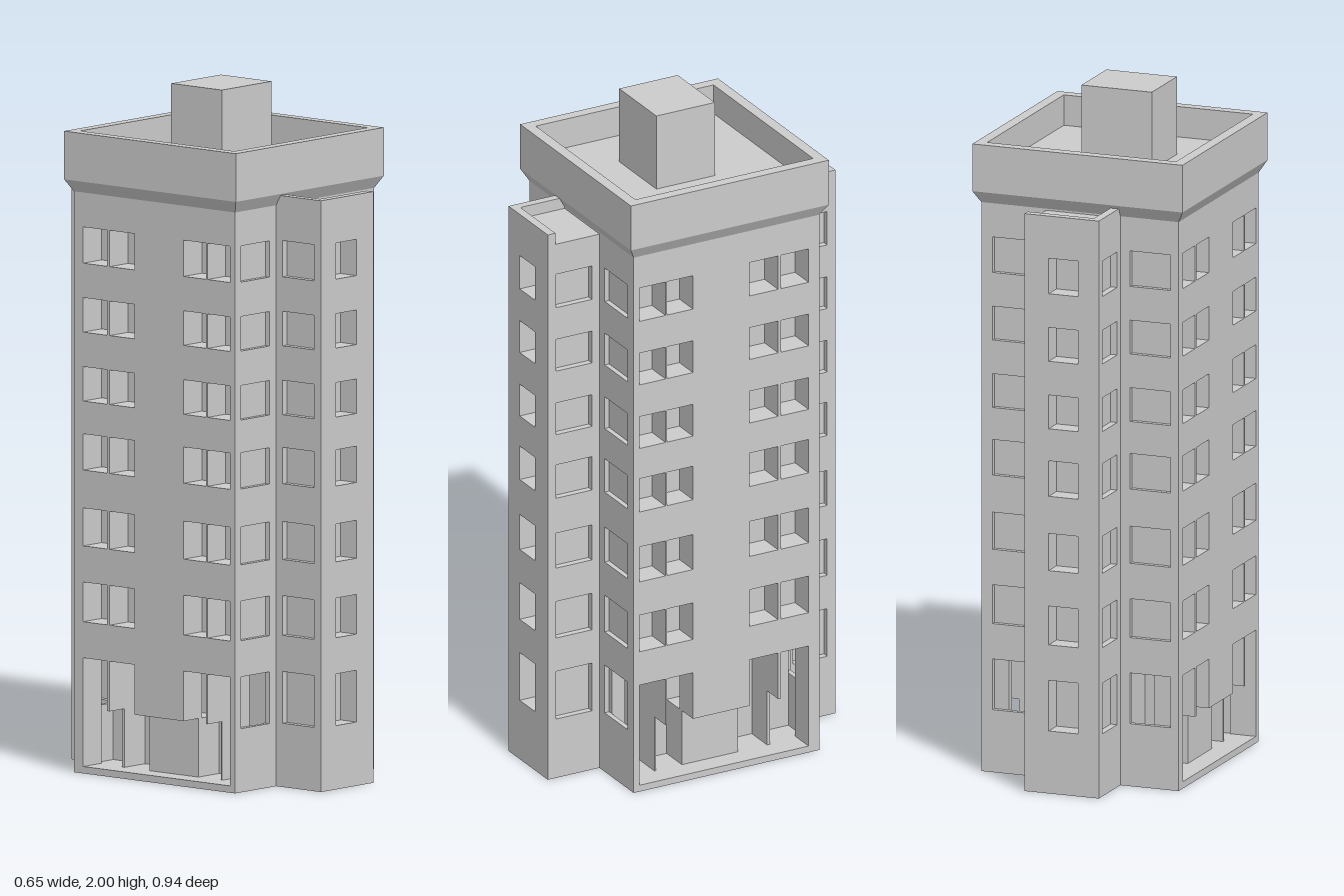
import * as THREE from 'three';

const material = new THREE.MeshStandardMaterial({ color: 0xcccccc, flatShading: true });
const floors = [[0.185, 0.335], [0.44, 0.555], [0.66, 0.77], [0.88, 0.985], [1.08, 1.18], [1.28, 1.38], [1.48, 1.585]];
const sideColumns = [[0.2, 0.285], [0.11, 0.195], [-0.17, -0.075], [-0.27, -0.18]];

function mesh(name, geometry, parent) {
  const m = new THREE.Mesh(geometry, material);
  m.name = name;
  parent.add(m);
  return m;
}

// box given by its limits on each axis
function block(name, x0, x1, y0, y1, z0, z1, parent) {
  const m = mesh(name, new THREE.BoxGeometry(x1 - x0, y1 - y0, z1 - z0), parent);
  m.position.set((x0 + x1) / 2, (y0 + y1) / 2, (z0 + z1) / 2);
}

const rectangle = (u0, u1, v0, v1) => [[u0, v0], [u1, v0], [u1, v1], [u0, v1]];
const windows = (columns, rows) => columns.flatMap(([a, b]) => rows.map(([c, d]) => rectangle(a, b, c, d)));

// pierced wall, thick along the given axis from a0 to a1
function wall(name, axis, u0, u1, top, holes, a0, a1, parent) {
  const points = (list) => list.map(([u, v]) => new THREE.Vector2(u, v));
  const shape = new THREE.Shape(points(rectangle(u0, u1, 0, top)));
  for (const h of holes) shape.holes.push(new THREE.Path(points(h)));
  const g = new THREE.ExtrudeGeometry(shape, { depth: a1 - a0, bevelEnabled: false });
  if (axis === 'x') g.rotateY(-Math.PI / 2).translate(a1, 0, 0);
  else g.translate(0, 0, a0);
  mesh(name, g, parent);
}

// limits of a slab on the positive or negative side
const span = (s, inner, outer) => (s > 0 ? [inner, outer] : [-outer, -inner]);

function buildBody(parent) {
  const body = new THREE.Group();
  body.name = 'mainBlock';
  parent.add(body);
  block('core', -0.225, 0.225, 0.335, 1.7, -0.29, 0.29, body);
  block('groundCore', -0.15, 0.15, 0.02, 0.335, -0.29, 0.29, body);
  block('groundSlab', -0.304, 0.304, 0, 0.02, -0.304, 0.304, body);

  // entrance opening, rising into the lowest windows
  const entrance = [[-0.27, 0.02], [0.285, 0.02], [0.285, 0.335], [0.2, 0.335], [0.2, 0.19],
    [0.195, 0.19], [0.195, 0.335], [0.11, 0.335], [0.11, 0.19], [-0.075, 0.19], [-0.075, 0.335],
    [-0.17, 0.335], [-0.17, 0.19], [-0.18, 0.19], [-0.18, 0.335], [-0.27, 0.335]];

  for (const s of [1, -1]) {
    const [x0, x1] = span(s, 0.225, 0.305);
    wall('sideWall', 'x', -0.29, 0.29, 1.7, [...windows(sideColumns, floors.slice(1)), entrance], x0, x1, body);
    const [z0, z1] = span(s, 0.29, 0.305);
    wall(s > 0 ? 'frontWall' : 'backWall', 'z', -0.305, 0.305, 1.7,
      windows([[-0.28, -0.155], [0.135, 0.27]], floors), z0, z1, body);
    // entrance hall partitions
    const [p0, p1] = span(s, 0.14, 0.24);
    block('entranceBlock', p0, p1, 0.02, 0.19, -0.075, 0.11, body);
    block('entrancePost', p0, p1, 0.02, 0.335, 0.195, 0.2, body);
    block('entrancePost', p0, p1, 0.02, 0.335, -0.18, -0.17, body);
    // ceiling over the deeper ground floor recess
    block('entranceCeiling', p0, p1, 0.335, 0.345, -0.29, 0.29, body);
  }
}

function buildTower(s, end, parent) {
  const tower = new THREE.Group();
  tower.name = s > 0 ? 'frontTower' : 'backTower';
  parent.add(tower);
  const x0 = -0.125, x1 = 0.105, t = 0.02, roof = 1.68, top = end + 1.24;
  const [c0, c1] = span(s, 0.3, end - 0.06);
  block('towerCore', x0 + t, x1 - t, 0, roof, c0, c1, tower);
  const [f0, f1] = span(s, end - 0.06, end);
  wall('towerEndWall', 'z', x0 + t, x1 - t, roof, windows([[-0.06, 0.03]], floors), f0, f1, tower);
  const [z0, z1] = span(s, 0.3, end);
  const opening = span(s, 0.33, end - 0.027);
  for (const x of [x0, x1 - t])
    wall('towerSideWall', 'x', z0, z1, roof, windows([opening], floors), x, x + t, tower);
  // low roof edge on two sides
  const [r0, r1] = span(s, end - 0.025, end);
  block('towerParapetEnd', x0, x1, roof, top, r0, r1, tower);
  const [q0, q1] = span(s, 0.3, end - 0.025);
  block('towerParapetSide', x0, x0 + 0.025, roof, top, q0, q1, tower);
}

export function createModel() {
  const model = new THREE.Group();
  model.name = 'apartmentTower';
  buildBody(model);
  buildTower(1, 0.475, model);
  buildTower(-1, 0.47, model);

  // flared square cornice with sunken roof
  const profile = [[0.305, 1.685], [0.325, 1.72], [0.325, 1.86], [0.292, 1.86], [0.292, 1.77], [0, 1.77]]
    .map(([r, y]) => new THREE.Vector2(r * Math.SQRT2, y));
  mesh('corniceAndRoof', new THREE.LatheGeometry(profile, 4).rotateY(Math.PI / 4), model);

  block('roofHouse', -0.133, 0.085, 1.765, 2, -0.085, 0.107, model);
  return model;
}
